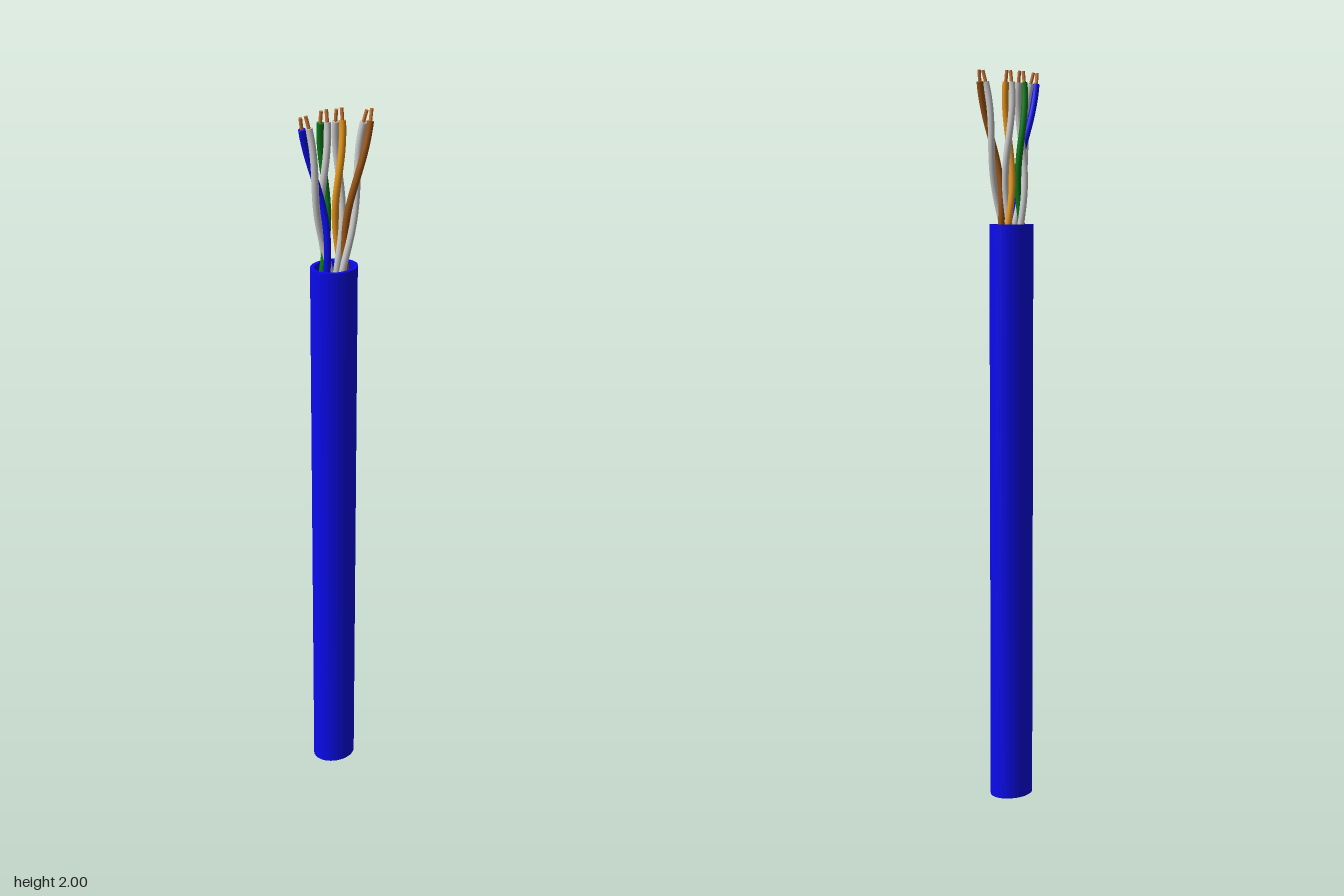
import * as THREE from 'three';
import { toCreasedNormals } from 'three/addons/utils/BufferGeometryUtils.js';

const material = (color) => new THREE.MeshStandardMaterial({ color });
const BLUE = 0x0a0aee;
const JACKET_TOP = 1.6;
const WIRE_START = 1.55, WIRE_END = 1.97, TIP_END = 2;
const TWIST_PITCH = 0.43, WIRE_RADIUS = 0.009;

// Hollow oval sleeve
function createJacket() {
  const ring = new THREE.Shape();
  ring.absellipse(0, 0, 0.0625, 0.05, 0, Math.PI * 2);
  const bore = new THREE.Path();
  bore.absellipse(0, 0, 0.052, 0.041, 0, Math.PI * 2, true);
  ring.holes.push(bore);
  const geometry = new THREE.ExtrudeGeometry(ring, {
    depth: JACKET_TOP, bevelEnabled: false, curveSegments: 32,
  });
  geometry.rotateX(-Math.PI / 2);
  const jacket = new THREE.Mesh(toCreasedNormals(geometry, 0.6), material(BLUE));
  jacket.name = 'jacket';
  return jacket;
}

// Path of one strand between two heights, twisting round the pair's leaning axis
function strandCurve(pair, phase, y0, y1, count) {
  const points = [];
  for (let i = 0; i <= count; i++) {
    const y = y0 + (y1 - y0) * i / count;
    const lean = Math.pow(Math.max(0, (y - JACKET_TOP) / 0.4), 1.2);
    const angle = phase + 2 * Math.PI * (WIRE_END - y) / TWIST_PITCH;
    points.push(new THREE.Vector3(
      pair.x + pair.spread * lean + WIRE_RADIUS * Math.cos(angle),
      y,
      pair.z + WIRE_RADIUS * Math.sin(angle)
    ));
  }
  return new THREE.CatmullRomCurve3(points);
}

// Round rod along a curve, with flat end caps
function rod(name, curve, segments, radius, mat) {
  const group = new THREE.Group();
  group.name = name;
  group.add(new THREE.Mesh(new THREE.TubeGeometry(curve, segments, radius, 14), mat));
  for (const [t, sign] of [[0, -1], [1, 1]]) {
    const cap = new THREE.Mesh(new THREE.CircleGeometry(radius, 14), mat);
    cap.position.copy(curve.getPoint(t));
    cap.quaternion.setFromUnitVectors(
      new THREE.Vector3(0, 0, 1), curve.getTangent(t).multiplyScalar(sign));
    group.add(cap);
  }
  group.children.forEach((mesh) => { mesh.name = name; });
  return group;
}

// One coloured and one pale strand, each with a bare copper tip
function createPair(pair) {
  const group = new THREE.Group();
  group.name = pair.name + 'Pair';
  const copper = material(0xc87533);
  const strands = [
    [pair.name + 'Wire', pair.color, pair.phase],
    [pair.name + 'PaleWire', 0xcccccc, pair.phase + Math.PI],
  ];
  for (const [name, color, phase] of strands) {
    group.add(rod(name, strandCurve(pair, phase, WIRE_START, WIRE_END, 20), 48,
      WIRE_RADIUS, material(color)));
    group.add(rod('copperTip', strandCurve(pair, phase, WIRE_END - 0.02, TIP_END, 4), 6,
      0.0045, copper));
  }
  return group;
}

export function createModel() {
  const model = new THREE.Group();
  model.name = 'cable';
  model.add(createJacket());

  const pairs = [
    { name: 'blue', color: BLUE, x: -0.022, z: 0.015, spread: -0.064, phase: Math.PI },
    { name: 'green', color: 0x0a7a1a, x: -0.02, z: -0.017, spread: 0, phase: Math.PI },
    { name: 'orange', color: 0xe8981c, x: 0.02, z: -0.017, spread: 0, phase: 0 },
    { name: 'brown', color: 0x9a5514, x: 0.022, z: 0.015, spread: 0.064, phase: 0 },
  ];
  pairs.forEach((pair) => model.add(createPair(pair)));
  return model;
}
